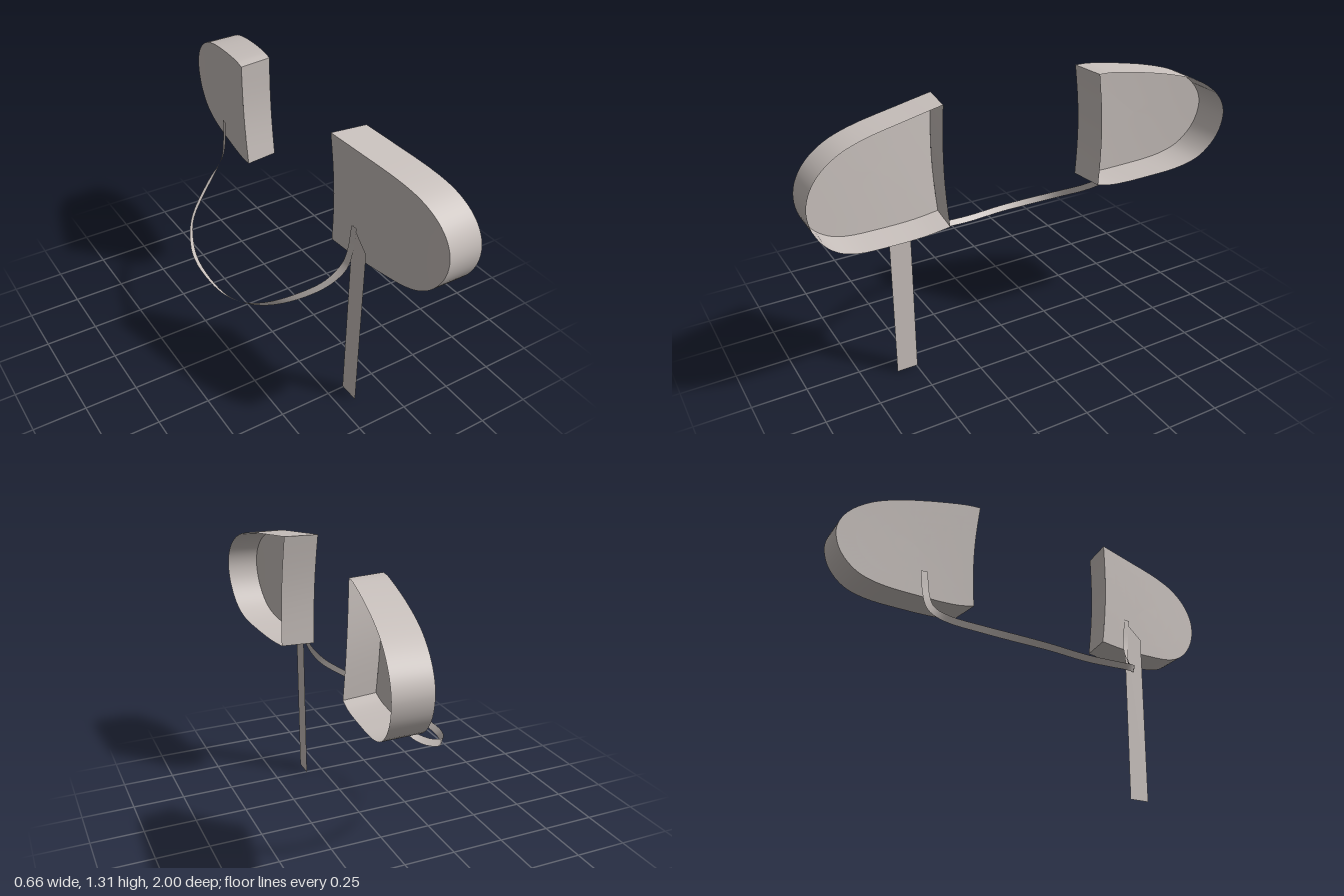
import * as THREE from 'three';

const V = (x, y, z) => new THREE.Vector3(x, y, z);

// Grid surface from a function (u, v) -> Vector3
function surface(fn, nu, nv) {
  const pos = [], idx = [];
  for (let j = 0; j <= nv; j++) {
    for (let i = 0; i <= nu; i++) pos.push(...fn(i / nu, j / nv).toArray());
  }
  for (let j = 0; j < nv; j++) {
    for (let i = 0; i < nu; i++) {
      const a = j * (nu + 1) + i, b = a + 1, c = a + nu + 1, d = c + 1;
      idx.push(a, b, c, b, d, c);
    }
  }
  const g = new THREE.BufferGeometry();
  g.setAttribute('position', new THREE.Float32BufferAttribute(pos, 3));
  g.setIndex(idx);
  g.computeVertexNormals();
  return g;
}

// Cup outline as (z, y): top inner corner, round the outer end, bottom inner corner
const curve = (pts) => new THREE.CatmullRomCurve3(pts.map(([z, y]) => V(0, y, z)));
const roundFront = curve([
  [0.36, 1.307], [0.5, 1.29], [0.75, 1.255], [0.86, 1.22], [0.94, 1.165], [0.985, 1.1],
  [1.0, 1.03], [0.985, 0.95], [0.94, 0.875], [0.88, 0.825], [0.8, 0.795], [0.65, 0.778],
  [0.48, 0.77], [0.36, 0.775],
]);
const roundBack = curve([
  [0.35, 1.302], [0.42, 1.303], [0.7, 1.262], [0.85, 1.215], [0.94, 1.155], [0.985, 1.095],
  [1.0, 1.03], [0.975, 0.935], [0.9, 0.85], [0.8, 0.808], [0.6, 0.783],
  [0.43, 0.775], [0.35, 0.785],
]);
const innerEdge = (round, s) => {
  const p = round.getPoint(1).lerp(round.getPoint(0), s);
  p.z += 0.015 * Math.sin(Math.PI * s);
  return p;
};

// Place an outline point at a depth: 0 on the closed plate, 1 on the open rim
function atDepth(p, depth, side) {
  const t = (p.z - 0.36) / 0.64;
  const tilt = 0.03 * (1.3 - p.y) / 0.53 * (1 - t);
  const rim = side > 0 ? 0.21 + 0.1 * t : 0.21 + 0.115 * t;
  const x = THREE.MathUtils.lerp(0.05 + 0.105 * t, rim, depth) + tilt;
  return V(x, p.y, side * (p.z + 0.02 * depth * (1 - t)));
}

export function createModel() {
  const model = new THREE.Group();
  model.name = 'pairedCupsWithStrap';
  const grey = new THREE.MeshStandardMaterial({ color: 0xcac2be, side: THREE.DoubleSide });
  grey.name = 'warmGrey';
  const add = (parent, name, geometry) => {
    const mesh = new THREE.Mesh(geometry, grey);
    mesh.name = name;
    parent.add(mesh);
  };

  // Two open cups, closed towards -x
  for (const side of [1, -1]) {
    const round = side > 0 ? roundFront : roundBack;
    const cup = new THREE.Group();
    cup.name = side > 0 ? 'frontCup' : 'backCup';
    add(cup, 'curvedWall', surface((u, v) => atDepth(round.getPoint(u), v, side), 52, 1));
    add(cup, 'innerWall', surface((u, v) => atDepth(innerEdge(round, u), v, side), 8, 1));
    // Plate ruled between the upper and lower halves of the outline
    add(cup, 'plate', surface((u, v) => {
      const centre = V(0, 1.04, 0.65);
      const p = u < 0.8 ? round.getPoint(u / 0.8) : innerEdge(round, (u - 0.8) / 0.2);
      return atDepth(centre.lerp(p, v), 0, side);
    }, 65, 4));
    model.add(cup);
  }

  // Curved ribbon: centre points and half-width directions
  const path = new THREE.CatmullRomCurve3([
    V(0.08, 0.93, 0.51), V(0.078, 0.79, 0.495), V(0.06, 0.715, 0.485), V(0.0, 0.635, 0.457),
    V(-0.09, 0.575, 0.41), V(-0.2, 0.52, 0.335), V(-0.27, 0.485, 0.25), V(-0.31, 0.46, 0.14),
    V(-0.322, 0.45, 0), V(-0.312, 0.465, -0.18), V(-0.27, 0.49, -0.31), V(-0.2, 0.53, -0.425),
    V(-0.05, 0.62, -0.535), V(0.05, 0.71, -0.575), V(0.075, 0.79, -0.59), V(0.083, 0.9, -0.6),
  ]);
  const widths = new THREE.CatmullRomCurve3([
    V(0.1, 0, 1), V(0.15, -0.1, 1), V(0.3, -0.4, 0.8), V(0.5, -0.8, 0.4), V(0.4, -0.9, 0.28),
    V(0.6, -0.8, 0.1), V(0.75, -0.65, 0), V(0.75, -0.65, 0), V(0.75, -0.65, 0),
    V(0.75, -0.65, 0), V(0.6, -0.8, -0.1), V(0.4, -0.9, -0.28), V(0.5, -0.8, -0.4),
    V(0.3, -0.4, -0.8), V(0.15, -0.1, -1), V(0.1, 0, -1),
  ]);
  add(model, 'ribbon', surface((u, v) =>
    path.getPoint(u).addScaledVector(widths.getPoint(u).normalize(), (v - 0.5) * 0.032), 60, 1));

  // Hanging flat strip with a slanted top
  const strip = new THREE.Shape([[0.495, 0], [0.595, 0], [0.595, 0.84], [0.495, 0.93]]
    .map(([z, y]) => new THREE.Vector2(-z, y)));
  const stripGeometry = new THREE.ShapeGeometry(strip);
  stripGeometry.rotateY(Math.PI / 2).translate(0.085, 0, 0);
  add(model, 'hangingStrip', stripGeometry);

  return model;
}
